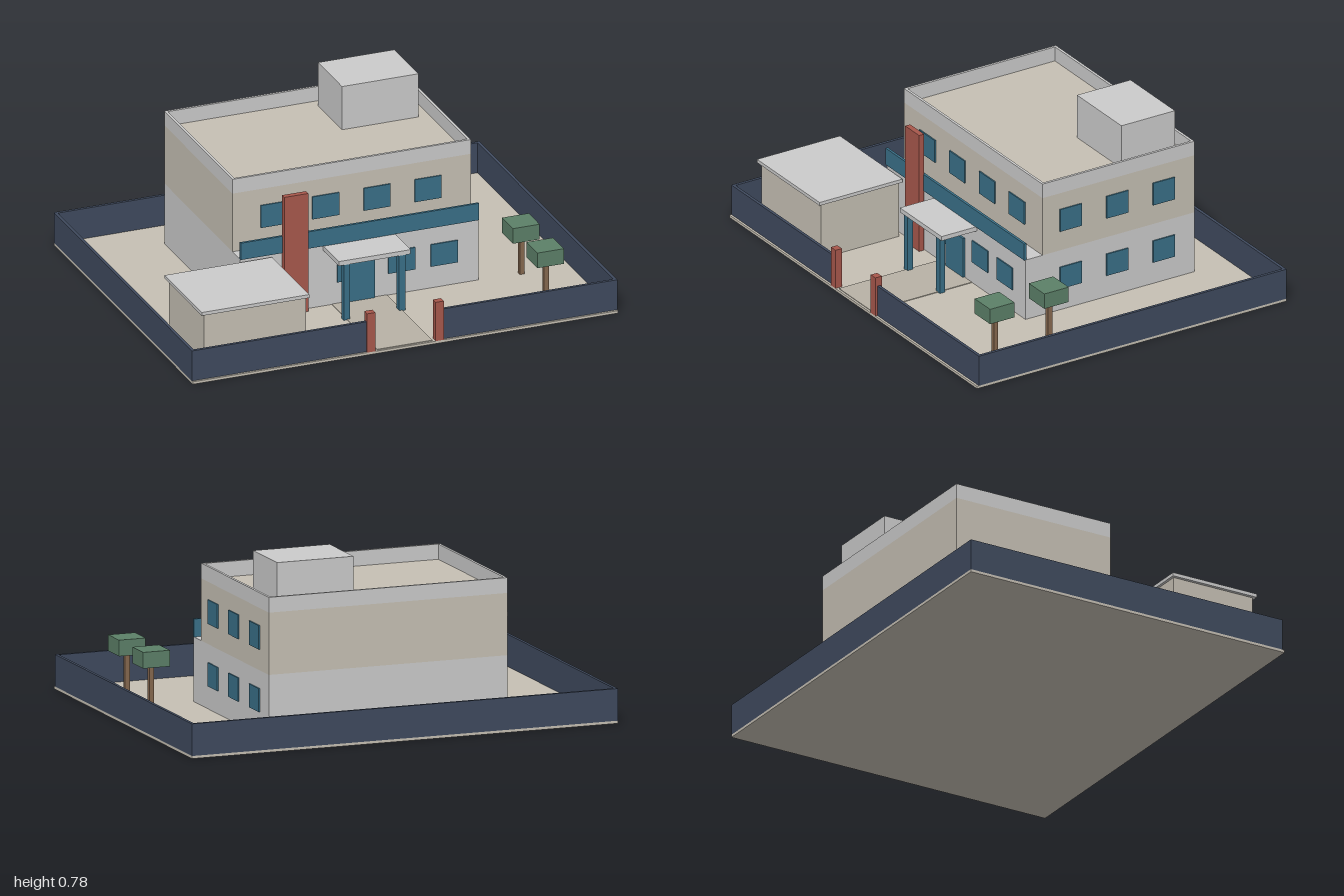
import * as THREE from 'three';

const material = (color) => new THREE.MeshStandardMaterial({ color, flatShading: true });

export function createModel() {
  const model = new THREE.Group();
  const grey = material(0xcccccc), beige = material(0xc6c0b4), paving = material(0xb8b2a6);
  const blue = material(0x3a7088), navy = material(0x3f4a5e), red = material(0xa8584c);
  const green = material(0x5c8068), brown = material(0x86684f);

  // Box given by its extents along each axis
  const box = (name, [x0, x1], [y0, y1], [z0, z1], mat, parent = model) => {
    const mesh = new THREE.Mesh(new THREE.BoxGeometry(x1 - x0, y1 - y0, z1 - z0), mat);
    mesh.position.set((x0 + x1) / 2, (y0 + y1) / 2, (z0 + z1) / 2);
    mesh.name = name;
    parent.add(mesh);
    return mesh;
  };
  const group = (name) => {
    const g = new THREE.Group();
    g.name = name;
    model.add(g);
    return g;
  };
  const base = 0.012;

  // Plot and entrance path
  box('ground', [-1, 1], [0, base], [-0.8, 0.8], beige);
  box('entrancePath', [-0.13, 0.13], [base, 0.015], [0.27, 0.79], paving);

  // Perimeter wall with a gate opening
  const fence = group('perimeterWall');
  const wallY = [base, 0.155], t = 0.014;
  box('backWall', [-1, 1], wallY, [-0.8, -0.8 + t], navy, fence);
  for (const s of [-1, 1]) {
    const span = (a, b) => (s > 0 ? [a, b] : [-b, -a]);
    box('sideWall', span(1 - t, 1), wallY, [-0.8 + t, 0.79 - t], navy, fence);
    box('frontWall', span(0.165, 1), wallY, [0.79 - t, 0.79], navy, fence);
    box('gatePost', span(0.142, 0.18), [base, 0.197], [0.767, 0.8], red, fence);
    box('canopyColumn', span(0.115, 0.145), [base, 0.278], [0.417, 0.445], blue);
  }

  // Main building: deeper ground floor, set-back upper floor
  const width = [-0.56, 0.56];
  box('groundFloor', width, [base, 0.3], [-0.605, 0.268], grey);
  box('upperFloor', width, [0.3, 0.577], [-0.605, 0.18], beige);

  // Open parapet around the flat roof
  const rect = (Type, x, z0, z1) => new Type([
    new THREE.Vector2(-x, z0), new THREE.Vector2(x, z0),
    new THREE.Vector2(x, z1), new THREE.Vector2(-x, z1)]);
  const ring = rect(THREE.Shape, 0.56, -0.18, 0.605);
  ring.holes.push(rect(THREE.Path, 0.548, -0.168, 0.593));
  const parapet = new THREE.Mesh(
    new THREE.ExtrudeGeometry(ring, { depth: 0.068, bevelEnabled: false }), grey);
  parapet.rotation.x = -Math.PI / 2;
  parapet.position.y = 0.577;
  parapet.name = 'parapet';
  model.add(parapet);
  box('roofHouse', [0.138, 0.497], [0.577, 0.783], [-0.545, -0.268], grey);

  // Windows
  const windows = group('windows');
  const upperY = [0.393, 0.5], lowerY = [0.115, 0.22];
  for (const x of [-0.365, -0.123, 0.118, 0.358])
    box('upperWindow', [x - 0.063, x + 0.063], upperY, [0.175, 0.186], blue, windows);
  for (const x of [-0.042, 0.198, 0.398])
    box('lowerWindow', [x - 0.063, x + 0.063], lowerY, [0.26, 0.274], blue, windows);
  for (const z of [0.036, -0.205, -0.445])
    for (const y of [upperY, lowerY])
      box('sideWindow', [0.555, 0.566], y, [z - 0.056, z + 0.056], blue, windows);

  // Front entrance, fascia, canopy and pylon
  box('frontDoor', [-0.07, 0.07], [base, 0.203], [0.26, 0.278], blue);
  box('fascia', width, [0.3, 0.38], [0.263, 0.275], blue);
  box('entranceCanopy', [-0.17, 0.167], [0.278, 0.299], [0.265, 0.45], grey);
  box('pylon', [-0.365, -0.252], [base, 0.575], [0.272, 0.298], red);

  // Outbuilding with overhanging roof and a door at its rear
  box('annexBody', [-0.905, -0.425], [base, 0.275], [0.292, 0.695], beige);
  box('annexRoof', [-0.92, -0.415], [0.275, 0.291], [0.28, 0.708], grey);
  box('annexDoor', [-0.74, -0.58], [base, 0.203], [0.287, 0.3], blue);

  // Small block-crowned trees
  for (const z of [0.274, 0.554]) {
    const tree = group('tree');
    box('trunk', [0.748, 0.77], [base, 0.195], [z - 0.011, z + 0.011], brown, tree);
    box('crown', [0.695, 0.82], [0.19, 0.262], [z - 0.063, z + 0.063], green, tree);
  }
  return model;
}
